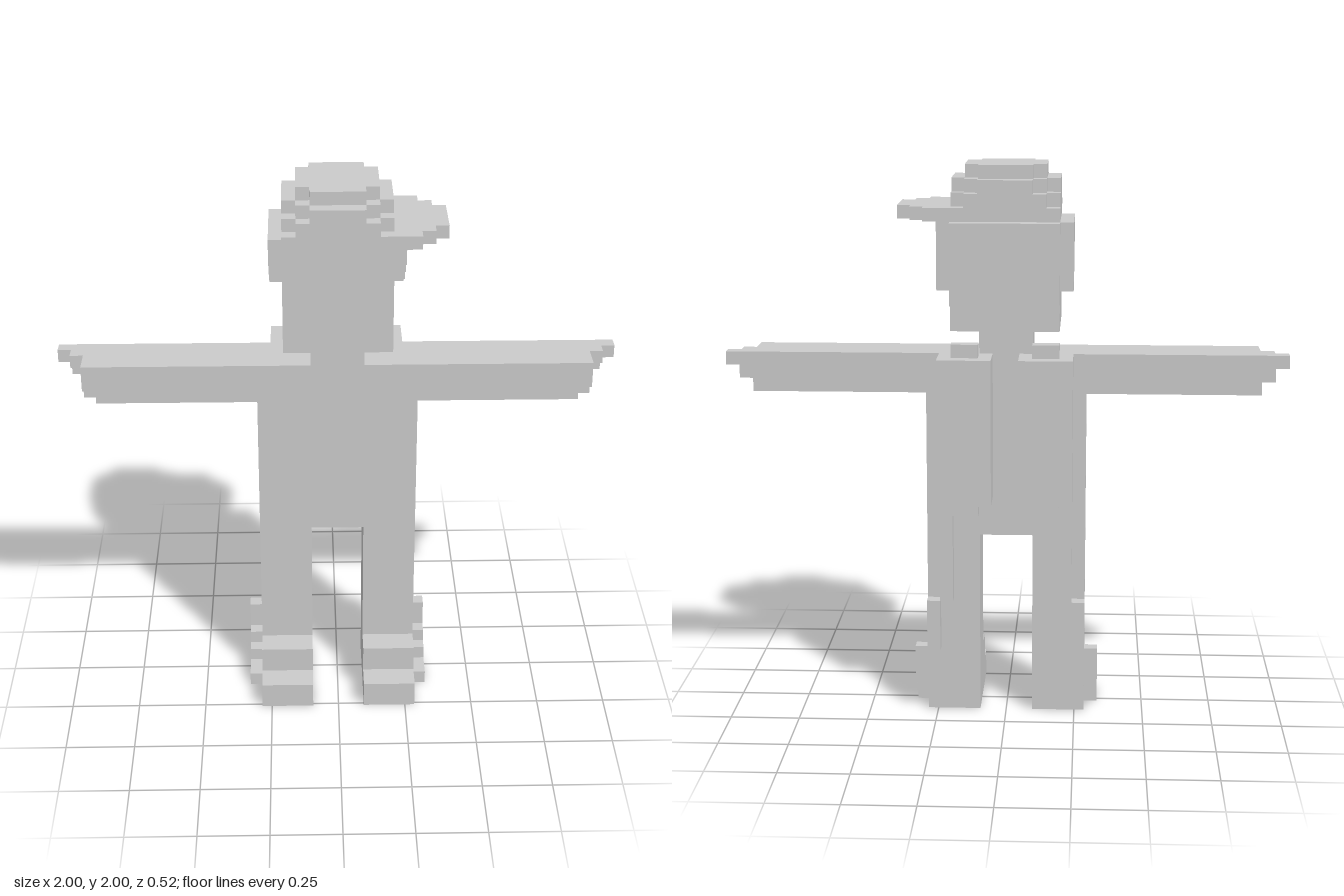
import * as THREE from 'three';

const U = 2 / 42; // one block
const material = new THREE.MeshStandardMaterial({ color: 0xcccccc, flatShading: true });

export function createModel() {
  const model = new THREE.Group();

  // Box given by its ranges in blocks
  function block(parent, name, [x0, x1], [y0, y1], [z0, z1]) {
    const geometry = new THREE.BoxGeometry((x1 - x0) * U, (y1 - y0) * U, (z1 - z0) * U);
    const mesh = new THREE.Mesh(geometry, material);
    mesh.position.set((x0 + x1) / 2 * U, (y0 + y1) / 2 * U, (z0 + z1) / 2 * U);
    mesh.name = name;
    parent.add(mesh);
  }

  // The same box on both sides of the body
  function pair(parent, name, [x0, x1], y, z) {
    block(parent, name + 'Left', [x0, x1], y, z);
    block(parent, name + 'Right', [-x1, -x0], y, z);
  }

  function group(name) {
    const g = new THREE.Group();
    g.name = name;
    model.add(g);
    return g;
  }

  // Slab with stepped corners, extruded upwards
  function steppedSlab(parent, name, half, cut, [y0, y1]) {
    const s = new THREE.Shape();
    const corner = [];
    // stair from (half, half - cut) to (half - cut, half)
    for (let i = 0; i <= cut; i++) {
      corner.push([half - i, half - cut + i]);
      if (i < cut) corner.push([half - i, half - cut + i + 1]);
    }
    // drop the outermost overhang so each step goes inward first
    const stair = cut === 0 ? [[half, half]] : [];
    for (let i = 0; i < cut; i++) {
      stair.push([half - i, half - cut + i], [half - i - 1, half - cut + i]);
    }
    if (cut) stair.push([half - cut, half]);
    const points = [];
    for (let q = 0; q < 4; q++) {
      for (const [a, b] of stair) {
        const p = new THREE.Vector2(a, b).rotateAround(new THREE.Vector2(), q * Math.PI / 2);
        points.push(p.multiplyScalar(U));
      }
    }
    s.setFromPoints(points);
    const geometry = new THREE.ExtrudeGeometry(s, { depth: (y1 - y0) * U, bevelEnabled: false });
    geometry.rotateX(-Math.PI / 2);
    const mesh = new THREE.Mesh(geometry, material);
    mesh.position.set(0, y0 * U, -0.5 * U);
    mesh.name = name;
    parent.add(mesh);
  }

  const bodyZ = [-2.5, 1.5];

  // Torso and neck
  const body = group('body');
  block(body, 'torso', [-6, 6], [14, 28], bodyZ);
  block(body, 'neck', [-2, 2], [28, 30], bodyZ);

  // Arms with stepped hands
  const arms = group('arms');
  pair(arms, 'arm', [6, 18], [25, 28], bodyZ);
  pair(arms, 'hand', [18, 19], [26, 28], bodyZ);
  pair(arms, 'palm', [18, 19], [25, 26], [-2.5, 0.5]);
  pair(arms, 'upperFinger', [19, 20], [27, 28], [-2.5, -0.5]);
  pair(arms, 'lowerFinger', [19, 20], [26, 27], [-2.5, -1.5]);
  pair(arms, 'fingertip', [20, 21], [27, 28], [-2.5, -1.5]);

  // Legs and stepped feet
  const legs = group('legs');
  pair(legs, 'leg', [2, 6], [0, 14], bodyZ);
  pair(legs, 'instep', [2, 6], [0, 4], [1.5, 3.5]);
  pair(legs, 'toe', [2, 6], [0, 2], [3.5, 5.5]);

  // Head and hair
  const head = group('head');
  block(head, 'face', [-4, 4], [30, 38], [-4.5, 3.5]);
  block(head, 'backHair', [-4, 4], [32, 38], [-5.5, -4.5]);
  [[-4.5, -2.5, 33], [-2.5, -0.5, 34], [-0.5, 0.5, 35], [0.5, 1.5, 36]].forEach(([z0, z1, y]) => {
    pair(head, 'sideHair', [4, 5], [y, 38], [z0, z1]);
  });

  // Cap with the visor turned to the left
  const cap = group('cap');
  steppedSlab(cap, 'capBand', 4, 0, [38, 39]);
  steppedSlab(cap, 'capLower', 4, 1, [39, 40]);
  steppedSlab(cap, 'capUpper', 4, 2, [40, 41]);
  steppedSlab(cap, 'capTop', 3, 1, [41, 42]);
  block(cap, 'visor', [4, 6], [38, 39], [-4.5, 3.5]);
  block(cap, 'visorMiddle', [6, 7], [38, 39], [-3.5, 2.5]);
  block(cap, 'visorTip', [7, 8], [38, 39], [-2.5, 1.5]);

  // Twin tanks on the back
  const tanks = group('tanks');
  pair(tanks, 'tank', [1, 5], [17, 28], [-5.5, -2.5]);
  pair(tanks, 'tankCap', [2, 4], [28, 29], [-4.5, -3.5]);
  pair(tanks, 'tankNozzle', [2, 4], [16, 17], [-4.5, -3.5]);

  // Hoses running from the tanks down to the feet
  const hoses = group('hoses');
  pair(hoses, 'upperHose', [4, 5], [9, 17], [-3.5, -2.5]);
  pair(hoses, 'lowerHose', [5, 6], [5, 9], [-3.5, -2.5]);
  [[-2.5, -1.5, 2, 5], [-1.5, -0.5, 1, 3], [-0.5, 0.5, 0, 2], [0.5, 2.5, 0, 1]].forEach(([z0, z1, y0, y1]) => {
    pair(hoses, 'footHose', [6, 7], [y0, y1], [z0, z1]);
  });
  // hose end beside the instep
  return model;
}
